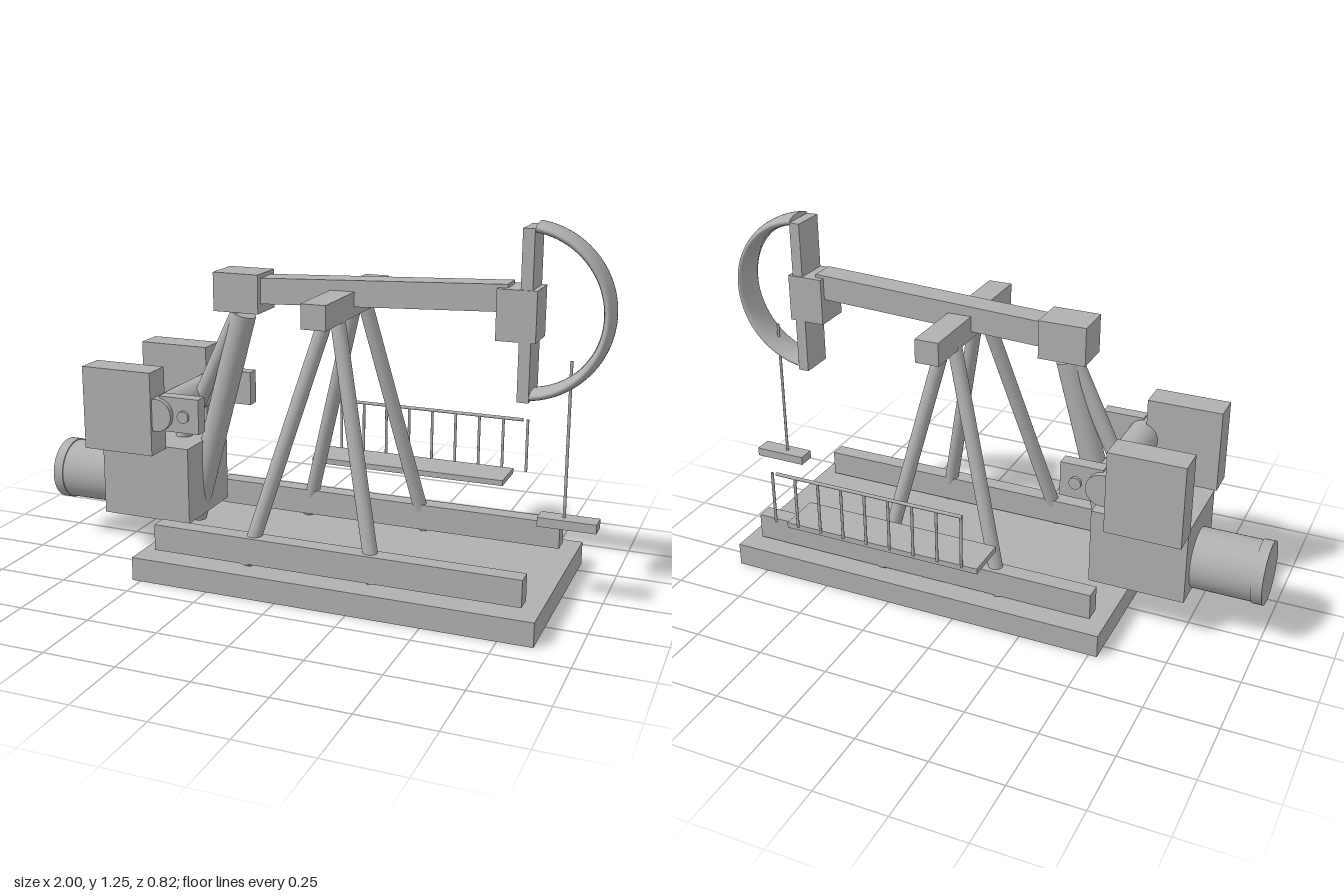
import * as THREE from 'three';

const steel = new THREE.MeshStandardMaterial({ color: 0xb0b0b0 });
steel.name = 'grey steel';
const MID = 0.048; // z of the machine's centre line

export function createModel() {
  const model = new THREE.Group();

  function add(name, geometry) {
    const mesh = new THREE.Mesh(geometry, steel);
    mesh.name = name;
    model.add(mesh);
    return mesh;
  }
  // Box from its minimum and maximum corners
  function box(name, [x0, y0, z0], [x1, y1, z1]) {
    const mesh = add(name, new THREE.BoxGeometry(x1 - x0, y1 - y0, z1 - z0));
    mesh.position.set((x0 + x1) / 2, (y0 + y1) / 2, (z0 + z1) / 2);
    return mesh;
  }
  // Round bar between two points
  function bar(name, from, to, radius, sides = 32) {
    const a = new THREE.Vector3(...from), b = new THREE.Vector3(...to);
    const mesh = add(name, new THREE.CylinderGeometry(radius, radius, a.distanceTo(b), sides));
    mesh.position.copy(a).add(b).multiplyScalar(0.5);
    mesh.quaternion.setFromUnitVectors(new THREE.Vector3(0, 1, 0), b.sub(a).normalize());
    return mesh;
  }

  // Base slab
  box('base', [-0.53, 0, -0.315], [0.865, 0.082, 0.41]);

  // Parts mirrored about the centre line
  for (const s of [1, -1]) {
    const z = (d) => MID + s * d;
    const sideBox = (name, x0, y0, d0, x1, y1, d1) =>
      box(name, [x0, y0, Math.min(z(d0), z(d1))], [x1, y1, Math.max(z(d0), z(d1))]);
    sideBox('skidRail', -0.476, 0.094, 0.236, 0.808, 0.186, 0.296);
    sideBox('counterweight', -0.76, 0.417, 0.157, -0.498, 0.709, 0.258);
    sideBox('crankBlock', -0.48, 0.503, 0.182, -0.332, 0.625, 0.229);
    bar('crankPin', [-0.387, 0.561, z(0.2)], [-0.387, 0.561, z(0.24)], 0.021, 24);
    bar('rearLeg', [-0.143, 0.088, z(0.273)], [0.094, 0.93, z(0.128)], 0.025);
    bar('frontLeg', [0.317, 0.088, z(0.273)], [0.128, 0.93, z(0.128)], 0.025);
  }

  // Saddle and tilted walking beam
  box('saddle', [0.07, 0.913, -0.245], [0.155, 0.995, 0.343]);
  const beam = box('walkingBeam', [-0.3, 0.946, MID - 0.045], [0.668, 1.034, MID + 0.045]);
  beam.rotation.z = 0.043;
  box('tailBlock', [-0.348, 0.898, MID - 0.068], [-0.182, 1.032, MID + 0.068]);
  box('headBlock', [0.636, 0.877, MID - 0.066], [0.765, 1.043, MID + 0.066]);

  // Curved head with its back plate
  box('headBackPlate', [0.711, 0.683, MID - 0.062], [0.749, 1.235, MID + 0.062]);
  const sweep = THREE.MathUtils.degToRad(164);
  const arc = new THREE.TorusGeometry(0.27, 0.0185, 24, 64, sweep);
  arc.rotateZ(-sweep / 2);
  arc.scale(1, 1, 3.2);
  const head = add('curvedHead', arc);
  head.position.set(0.7115, 0.967, MID);
  // Caps closing the two ends of the curved head
  for (const s of [1, -1]) {
    const cap = new THREE.CircleGeometry(0.0185, 24);
    cap.scale(1, 3.2, 1);
    cap.rotateX(Math.PI / 2 * s);
    cap.translate(0.27, 0, 0);
    cap.rotateZ(s * sweep / 2);
    // Turn the cap's face outward along the arc
    const normal = new THREE.Vector3().fromBufferAttribute(cap.attributes.normal, 0);
    if (normal.y * s < 0) cap.index.array.reverse();
    cap.computeVertexNormals();
    add('headEnd', cap).position.copy(head.position);
  }

  // Hanging rod and carrier bar
  bar('hangerRod', [0.868, 0.28, MID], [0.868, 0.817, MID], 0.005, 12);
  box('carrierBar', [0.786, 0.267, MID - 0.032], [0.979, 0.298, MID + 0.032]);

  // Gearbox, motor and crankshaft
  box('gearbox', [-0.754, 0.147, MID - 0.153], [-0.417, 0.42, MID + 0.153]);
  bar('motor', [-0.98, 0.241, MID - 0.003], [-0.672, 0.241, MID - 0.003], 0.106, 48);
  bar('motorRim', [-1, 0.241, MID - 0.003], [-0.963, 0.241, MID - 0.003], 0.11, 48);
  bar('crankshaft', [-0.484, 0.561, MID - 0.249], [-0.484, 0.561, MID + 0.249], 0.057, 40);

  // Slanted connecting arms
  bar('pitmanArm', [-0.474, 0.122, MID], [-0.266, 0.882, MID], 0.043, 40);
  bar('braceArm', [-0.515, 0.41, MID], [-0.285, 0.89, MID], 0.027);

  // Rear walkway with railing
  box('walkway', [-0.136, 0.273, -0.405], [0.586, 0.293, -0.252]);
  bar('handrail', [-0.085, 0.478, -0.405], [0.615, 0.478, -0.405], 0.006, 12);
  for (let i = 0; i < 9; i++) {
    const x = -0.08 + i * 0.089;
    bar('railingPost', [x, 0.285, -0.405], [x, 0.48, -0.405], 0.005, 12);
  }

  return model;
}
